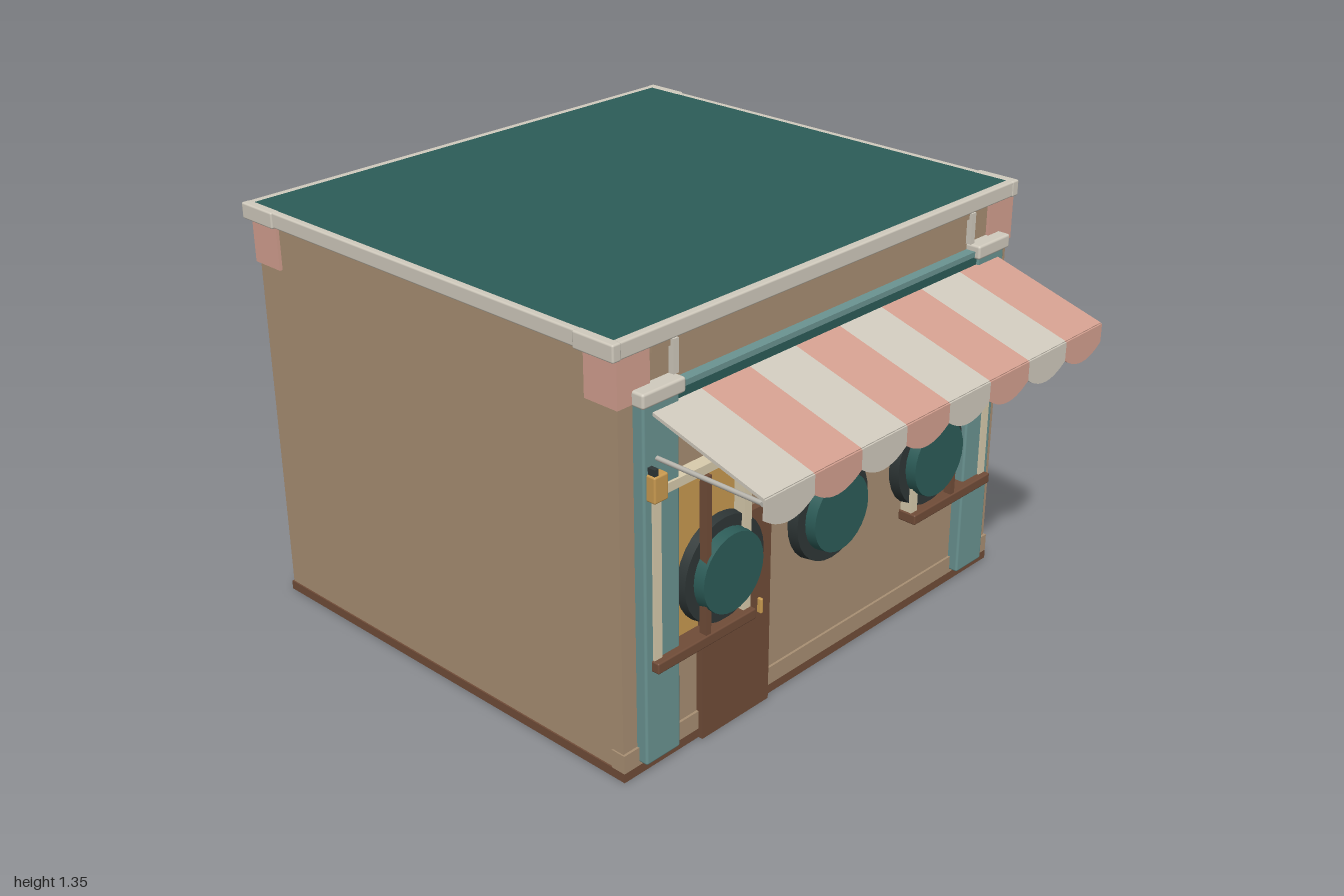
import * as THREE from 'three';
import { RoundedBoxGeometry } from 'three/addons/geometries/RoundedBoxGeometry.js';

const mat = (name, color, side = THREE.FrontSide) => {
  const m = new THREE.MeshStandardMaterial({ color, side });
  m.name = name;
  return m;
};

export function createModel() {
  const tan = mat('tan plaster', 0xa88f73);
  const brown = mat('brown wood', 0x704c38);
  const green = mat('deep green', 0x2c5c58);
  const teal = mat('teal paint', 0x6a9391);
  const pink = mat('pink', 0xd4a090, THREE.DoubleSide);
  const white = mat('off white', 0xd0cabd, THREE.DoubleSide);
  const cream = mat('cream frame', 0xd8cbac);
  const gold = mat('warm gold', 0xc99a50);
  const dark = mat('charcoal', 0x2e3636);
  const metal = mat('pale metal', 0xb9b6ae);

  const shop = new THREE.Group();
  shop.name = 'shop';
  const add = (name, geo, m, x = 0, y = 0, z = 0, parent = shop) => {
    const mesh = new THREE.Mesh(geo, m);
    mesh.name = name;
    mesh.position.set(x, y, z);
    parent.add(mesh);
    return mesh;
  };
  // Box from its limits; r rounds the edges
  const box = (name, m, x0, x1, y0, y1, z0, z1, r = 0, parent = shop) => {
    const s = [x1 - x0, y1 - y0, z1 - z0];
    const geo = r ? new RoundedBoxGeometry(...s, 2, r) : new THREE.BoxGeometry(...s);
    return add(name, geo, m, (x0 + x1) / 2, (y0 + y1) / 2, (z0 + z1) / 2, parent);
  };
  // Round bar between two points
  const bar = (name, m, a, b, r, parent = shop) => {
    const p = new THREE.Vector3(...a), q = new THREE.Vector3(...b);
    const d = q.clone().sub(p);
    const mesh = add(name, new THREE.CylinderGeometry(r, r, d.length(), 10), m, 0, 0, 0, parent);
    mesh.position.copy(p.add(q).multiplyScalar(0.5));
    mesh.quaternion.setFromUnitVectors(new THREE.Vector3(0, 1, 0), d.normalize());
    return mesh;
  };

  // Walls and plinth
  box('walls', tan, -0.88, 0.85, 0.03, 1.31, -0.97, 0.572);
  box('plinth', brown, -0.885, 0.855, 0, 0.03, -0.975, 0.58);
  box('baseboard', tan, -0.885, 0.855, 0.03, 0.09, 0.53, 0.58);
  box('frieze', tan, -0.76, 0.72, 1.28, 1.3, 0.56, 0.58);

  // Roof with a raised rim
  box('roof', green, -0.885, 0.845, 1.3, 1.349, -0.975, 0.565);
  for (const [z0, z1] of [[-1, -0.973], [0.56, 0.588]])
    box('roofRim', white, -0.905, 0.868, 1.3, 1.35, z0, z1, 0.006);
  for (const [x0, x1] of [[-0.903, -0.878], [0.84, 0.866]])
    box('roofRim', white, x0, x1, 1.3, 1.35, -0.995, 0.585, 0.006);
  for (const x of [-1, 1]) for (const back of [true, false]) {
    const rx = x < 0 ? [-0.91, -0.878] : [0.84, 0.873];
    const rz = back ? [-1, -0.85] : [0.44, 0.59];
    box('rimCorner', white, ...rx, 1.299, 1.351, ...rz, 0.006);
    const bx = x < 0 ? [-0.89, -0.77] : [0.735, 0.86];
    const bz = back ? [-0.98, -0.86] : [0.46, 0.582];
    box('cornerBlock', pink, ...bx, 1.16, 1.3, ...bz);
  }

  // Pilasters, capitals, brackets and wall lamps, mirrored about the facade centre
  const cx = -0.02;
  for (const s of [-1, 1]) {
    const side = (name, m, a, b, ...rest) =>
      box(name, m, Math.min(cx + s * a, cx + s * b), Math.max(cx + s * a, cx + s * b), ...rest);
    side('pilaster', teal, 0.668, 0.805, 0.04, 1.16, 0.56, 0.61, 0.008);
    side('capital', white, 0.655, 0.817, 1.155, 1.2, 0.56, 0.622, 0.008);
    side('bracket', white, 0.65, 0.67, 1.2, 1.3, 0.57, 0.59);
    side('wallLamp', gold, 0.742, 0.795, 0.88, 0.96, 0.6, 0.64, 0.006);
    side('lampCap', dark, 0.775, 0.79, 0.95, 0.98, 0.6, 0.635);
  }
  box('lintel', teal, -0.69, 0.65, 1.163, 1.18, 0.57, 0.606);
  box('awningRoller', green, -0.79, 0.755, 1.13, 1.163, 0.57, 0.603);

  // Door
  box('door', brown, -0.58, -0.29, 0, 0.675, 0.56, 0.595);
  box('doorHandle', gold, -0.346, -0.335, 0.325, 0.375, 0.59, 0.61, 0.004);

  // Windows: glass, frame, mullion and sill
  for (const [x0, g0, g1, mull] of [[-0.797, -0.69, -0.41, -0.595], [0.362, 0.375, 0.66, 0.56]]) {
    const x1 = x0 + 0.395;
    const w = new THREE.Group();
    w.name = 'window';
    shop.add(w);
    box('glass', gold, g0, g1, 0.37, 0.89, 0.57, 0.577, 0, w);
    box('frameTop', cream, x0, x1, 0.882, 0.91, 0.575, 0.618, 0, w);
    box('framePost', cream, x0, x0 + 0.03, 0.37, 0.89, 0.575, 0.617, 0, w);
    box('framePost', cream, x1 - 0.03, x1, 0.37, 0.89, 0.575, 0.617, 0, w);
    box('mullion', brown, mull - 0.01, mull + 0.01, 0.37, 0.882, 0.605, 0.632, 0, w);
    box('sill', brown, x0 - 0.005, x1 + 0.005, 0.345, 0.38, 0.57, 0.636, 0.005, w);
  }

  // Teal plate with bolts beside the window
  box('wallPlate', teal, 0.333, 0.56, 0.735, 0.89, 0.57, 0.588, 0.006);
  for (const x of [0.348, 0.545]) for (const y of [0.75, 0.875])
    add('plateBolt', new THREE.SphereGeometry(0.007, 8, 6), metal, x, y, 0.588);

  // Round shields on the facade
  for (const x of [-0.5, -0.02, 0.465]) {
    const ring = add('discRing', new THREE.CylinderGeometry(0.165, 0.172, 0.046, 28), dark, x, 0.543, 0.583);
    const hub = add('discHub', new THREE.CylinderGeometry(0.125, 0.132, 0.05, 28), green, x, 0.543, 0.615);
    ring.rotation.x = hub.rotation.x = Math.PI / 2;
  }

  // Striped awning with a scalloped valance
  const awning = new THREE.Group();
  awning.name = 'awning';
  shop.add(awning);
  const n = 8, ax = -0.79, aw = 1.545 / n, drop = 0.115, run = 0.392;
  const scallop = new THREE.Shape();
  scallop.moveTo(0, 0);
  scallop.lineTo(0, -0.06);
  scallop.quadraticCurveTo(aw / 2, -0.13, aw, -0.06);
  scallop.lineTo(aw, 0);
  const valanceGeo = new THREE.ExtrudeGeometry(scallop, { depth: 0.008, bevelEnabled: false, curveSegments: 10 });
  const panelGeo = new THREE.BoxGeometry(aw, 0.01, Math.hypot(drop, run));
  for (let i = 0; i < n; i++) {
    const m = i % 2 ? pink : white;
    const panel = add('awningStripe', panelGeo, m, ax + (i + 0.5) * aw, 1.13 - drop / 2, 0.6 + run / 2, awning);
    panel.rotation.x = Math.atan2(drop, run);
    add('awningValance', valanceGeo, m, ax + i * aw, 1.017, 0.99, awning);
  }
  for (const x of [-0.775, 0.738])
    bar('awningArm', metal, [x, 0.995, 0.57], [x, 0.995, 0.99], 0.007, awning);
  bar('awningRod', metal, [-0.785, 0.998, 0.983], [0.75, 0.998, 0.983], 0.007, awning);

  // Timber posts and seams on the side wall
  for (const z of [0.295, -0.697])
    box('sidePost', brown, 0.84, 0.862, 0, 1.255, z - 0.047, z + 0.047);
  for (const y of [0.046, 0.195, 0.485, 0.775, 1.062])
    box('sideSeam', brown, 0.845, 0.855, y - 0.006, y + 0.006, -0.94, 0.535);

  // Ladder on the side wall
  const ladder = new THREE.Group();
  ladder.name = 'ladder';
  shop.add(ladder);
  for (const z of [0.046, -0.126])
    box('ladderRail', metal, 0.887, 0.903, 0.1, 1.255, z - 0.009, z + 0.009, 0.004, ladder);
  for (let i = 0; i < 6; i++) {
    const y = 0.192 + i * 0.193;
    bar('ladderRung', metal, [0.899, y, 0.05], [0.899, y, -0.13], 0.009, ladder);
  }
  return shop;
}
